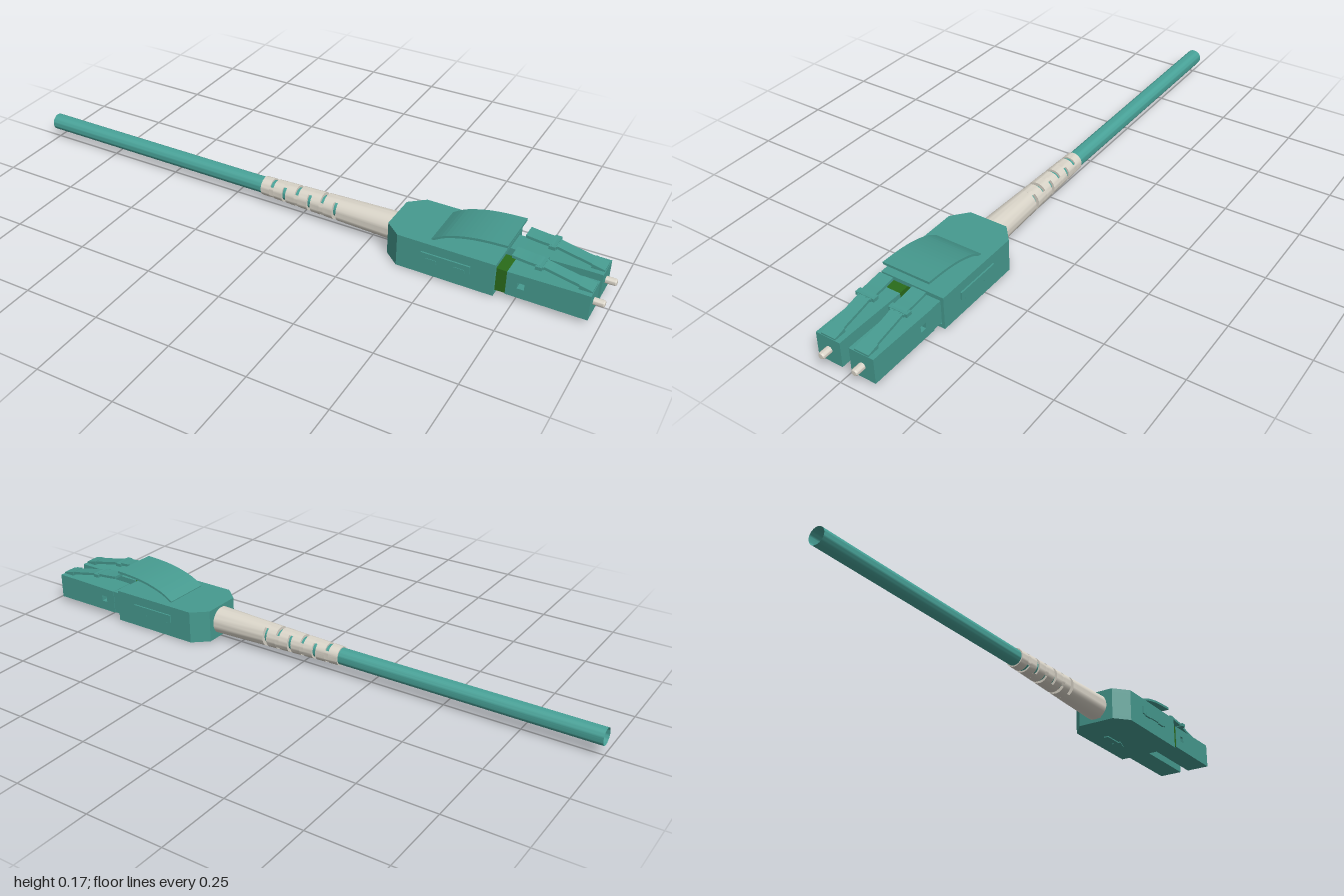
import * as THREE from 'three';
import { toCreasedNormals } from 'three/addons/utils/BufferGeometryUtils.js';

const AXIS_Y = 0.06;   // height of the cable and ferrule axis
const MID_Z = 0.0025;  // middle of the housing

export function createModel() {
  const model = new THREE.Group();
  model.name = 'duplexFibreConnector';

  const material = (name, color, side = THREE.FrontSide) => {
    const m = new THREE.MeshStandardMaterial({ color, side });
    m.name = name;
    return m;
  };
  const teal = material('teal plastic', 0x469a8f);
  const jacket = material('teal cable jacket', 0x48a298, THREE.DoubleSide);
  const beige = material('warm white', 0xd9d4c8);
  const green = material('dark green', 0x2a6b1a);

  const add = (name, geometry, mat, parent = model) => {
    const mesh = new THREE.Mesh(geometry, mat);
    mesh.name = name;
    parent.add(mesh);
    return mesh;
  };
  // Box given by its limits
  const box = (name, x0, x1, y0, y1, z0, z1, mat, parent) => {
    const mesh = add(name, new THREE.BoxGeometry(x1 - x0, y1 - y0, z1 - z0), mat, parent);
    mesh.position.set((x0 + x1) / 2, (y0 + y1) / 2, (z0 + z1) / 2);
    return mesh;
  };
  const shapeOf = (pts) => new THREE.Shape(pts.map(([a, b]) => new THREE.Vector2(a, b)));
  const extrude = (shape, depth) => new THREE.ExtrudeGeometry(shape, { depth, bevelEnabled: false });
  // Side profile (x, y) pulled along z
  const sideways = (name, shape, z0, z1, mat, parent) => {
    const mesh = add(name, extrude(shape, z1 - z0), mat, parent);
    mesh.position.z = z0;
    return mesh;
  };
  // Plan outline (x, z) pulled along y
  const upright = (name, pts, y0, y1, mat, parent) => {
    const geo = extrude(shapeOf(pts.map(([x, z]) => [x, -z])), y1 - y0).rotateX(-Math.PI / 2);
    const mesh = add(name, geo, mat, parent);
    mesh.position.y = y0;
    return mesh;
  };
  // Turned part: [x, radius] pairs around an axis along x
  const turned = (name, pts, mat, z = 0, parent = model, start = 0, sweep = Math.PI * 2) => {
    const profile = pts.map(([x, r]) => new THREE.Vector2(r, x));
    const geo = new THREE.LatheGeometry(profile, Math.max(8, Math.round(sweep * 5)), start, sweep);
    const mesh = add(name, toCreasedNormals(geo.rotateZ(-Math.PI / 2), 0.6), mat, parent);
    mesh.position.set(0, AXIS_Y, z);
    return mesh;
  };
  // Thin bent strip: upper curve with the given thickness below it
  const strip = (pts, t, samples = 16) => {
    const top = new THREE.SplineCurve(pts.map(([x, y]) => new THREE.Vector2(x, y))).getPoints(samples);
    const low = top.map((p) => new THREE.Vector2(p.x, p.y - t)).reverse();
    return new THREE.Shape([...top, ...low]);
  };

  // Hollow cable
  turned('cable', [[-1, 0.027], [0.16, 0.027]], jacket);

  // Strain relief boot: tapered sleeve and slotted rings
  const boot = new THREE.Group();
  boot.name = 'strainReliefBoot';
  model.add(boot);
  const bootR = (x) => 0.031 + (x + 0.14) * 0.03;
  const sleeve = (name, x0, x1, start, sweep) => turned(name, [
    [x0, 0.025], [x0, bootR(x0)], [x1, bootR(x1)], [x1, 0.025], [x0, 0.025],
  ], beige, 0, boot, start, sweep);
  sleeve('bootSleeve', 0.135, 0.335);
  const pitch = 0.046;
  for (let i = 0; i < 6; i++) {
    const x = -0.142 + i * pitch;
    sleeve('bootRing', x, x + 0.033);
    // Bridges over each slot, turned a quarter from one slot to the next
    for (const side of [0, Math.PI]) {
      sleeve('bootBridge', x + 0.032, x + pitch + 0.001, side + (i % 2) * Math.PI / 2 - 0.6, 1.2);
    }
  }

  // Housing: floor, roof and two side walls with chamfered rear corners
  const housing = new THREE.Group();
  housing.name = 'housing';
  model.add(housing);
  const plan = [
    [0.33, MID_Z - 0.065], [0.38, MID_Z - 0.108], [0.69, MID_Z - 0.108],
    [0.69, MID_Z + 0.108], [0.38, MID_Z + 0.108], [0.33, MID_Z + 0.065],
  ];
  upright('housingFloor', plan, 0.004, 0.016, teal, housing);
  upright('housingRoof', plan, 0.1, 0.113, teal, housing);
  for (const s of [1, -1]) {
    const wall = [[0.33, 0.02], [0.33, 0.065], [0.38, 0.108], [0.69, 0.108],
      [0.69, 0.098], [0.385, 0.098], [0.34, 0.06], [0.34, 0.02]];
    upright('housingWall', wall.map(([x, z]) => [x, MID_Z + s * z]), 0.016, 0.1, teal, housing);
    // Raised side catch
    const z = MID_Z + s * 0.11;
    box('sideCatch', 0.46, 0.615, 0.056, 0.082, z - 0.003, z + 0.003, teal, housing);
    for (const x of [0.475, 0.565]) {
      box('catchBump', x, x + 0.035, 0.052, 0.066, z - 0.003, z + 0.0045, teal, housing);
    }
  }
  // Pointer under the floor
  upright('pointerMark', [[0.46, -0.045], [0.46, -0.028], [0.53, -0.028], [0.53, -0.02],
    [0.58, -0.036], [0.53, -0.052], [0.53, -0.045]], 0.0, 0.005, teal, housing);

  // Arched push lever on the roof
  sideways('pushLever', strip([[0.478, 0.116], [0.52, 0.14], [0.58, 0.158], [0.64, 0.167], [0.71, 0.171]], 0.008),
    -0.077, 0.083, teal);

  // Two plugs, each with a collar, body, latch and ferrule
  const plugs = [
    { name: 'leftPlug', z: 0.06, collar: green },
    { name: 'rightPlug', z: -0.053, collar: teal },
  ];
  for (const { name, z, collar } of plugs) {
    const plug = new THREE.Group();
    plug.name = name;
    model.add(plug);
    box('collar', 0.45, 0.726, 0.019, 0.096, z - 0.039, z + 0.039, collar, plug);

    const body = shapeOf([[0.722, 0.018], [0.967, 0.018], [0.967, 0.101], [0.93, 0.101], [0.722, 0.097]]);
    const win = [[0.755, 0.05], [0.755, 0.07], [0.777, 0.07], [0.777, 0.05]];
    body.holes.push(new THREE.Path(win.map(([x, y]) => new THREE.Vector2(x, y))));
    sideways('plugBody', body, z - 0.041, z + 0.041, teal, plug);

    // Springy latch sloping up and back from the nose
    const arm = strip([[0.965, 0.105], [0.91, 0.117], [0.85, 0.129], [0.81, 0.138]], 0.009);
    sideways('latchArm', arm, z - 0.02, z + 0.02, teal, plug);
    const tail = strip([[0.82, 0.136], [0.8, 0.139], [0.77, 0.141], [0.725, 0.146]], 0.009);
    sideways('latchTail', tail, z - 0.024, z + 0.024, teal, plug);
    const nose = shapeOf([[0.925, 0.098], [0.965, 0.098], [0.965, 0.106], [0.925, 0.115]]);
    sideways('latchRoot', nose, z - 0.024, z + 0.024, teal, plug);
    box('latchLug', 0.797, 0.817, 0.127, 0.138, z - 0.032, z + 0.032, teal, plug);

    turned('ferrule', [[0.94, 0], [0.94, 0.011], [0.996, 0.011], [1, 0.008], [1, 0]], beige, z, plug);
  }
  return model;
}
